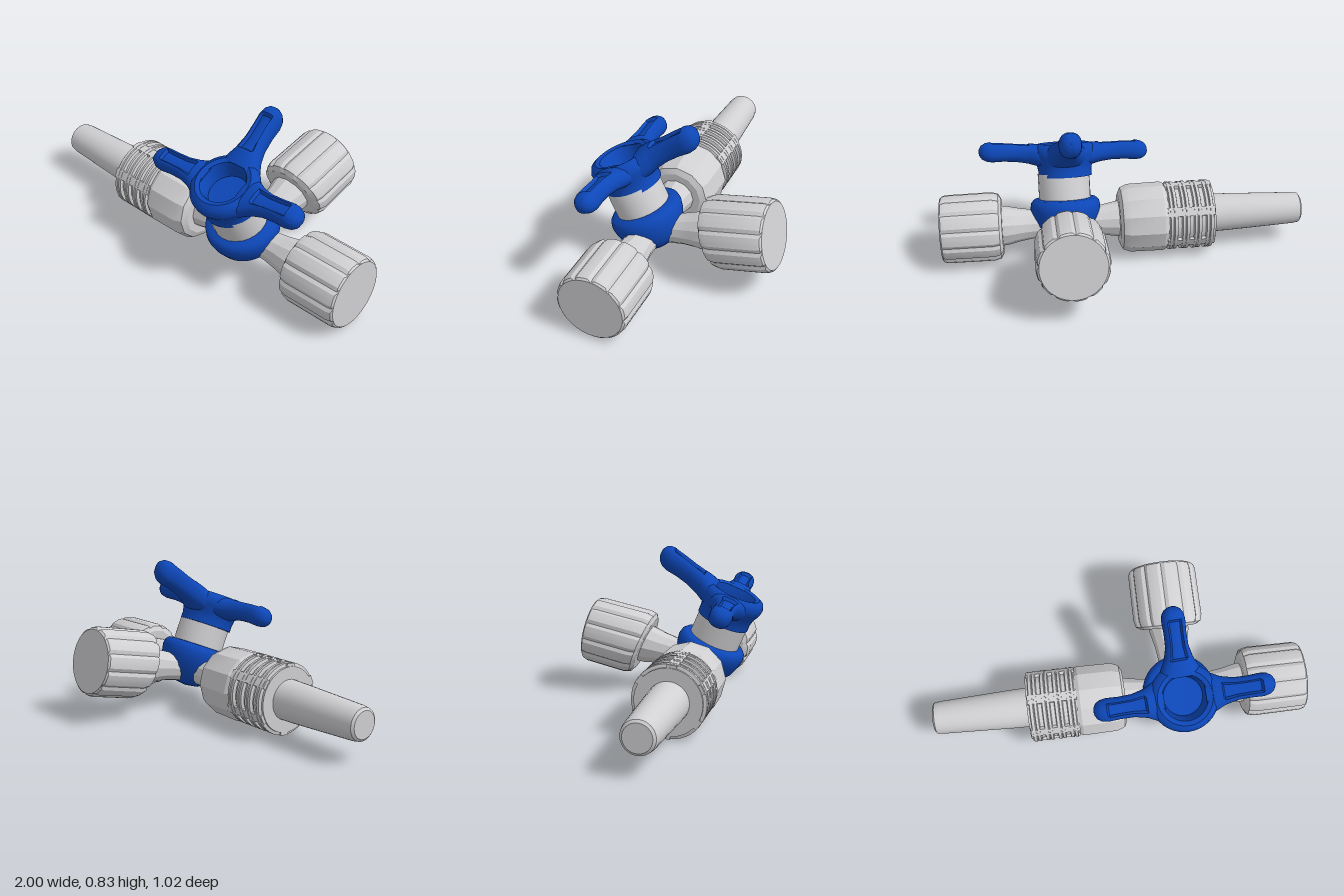
import * as THREE from 'three';
import { toCreasedNormals } from 'three/addons/utils/BufferGeometryUtils.js';

const white = new THREE.MeshStandardMaterial({ color: 0xd0cfd2 });
white.name = 'pale plastic';
const blue = new THREE.MeshStandardMaterial({ color: 0x0d47b8 });
blue.name = 'blue plastic';

function mesh(name, geometry, material, crease = 0.6) {
  const m = new THREE.Mesh(toCreasedNormals(geometry, crease), material);
  m.name = name;
  return m;
}

// Profile of [radius, height] pairs, listed from bottom to top of the outside
function lathe(profile, sides) {
  return new THREE.LatheGeometry(profile.map(([r, h]) => new THREE.Vector2(r, h)), sides);
}

// Gripped cap: every fifth column is a narrow groove; slant tilts the near face
function capGeometry(slant) {
  const near = 0.35, far = 0.68, columns = 60;
  const g = lathe([[0, near], [0.15, near], [0.178, near + 0.015], [0.188, near + 0.05],
    [0.186, far - 0.03], [0.18, far - 0.008], [0.17, far], [0, far]], columns);
  const p = g.attributes.position;
  for (let i = 0; i < p.count; i++) {
    const column = Math.floor(i / 8) % columns;
    const row = i % 8;
    const k = column % 5 === 4 && row > 1 && row < 6 ? 0.95 : 1;
    const x = p.getX(i) * k, y = p.getY(i), z = p.getZ(i) * k;
    const fade = (far - y) / (far - near);
    p.setXYZ(i, x, y - slant * z * fade, z);
  }
  return g;
}

// Short flared pipe closed by a gripped cap, running along local +y
function cappedPort(name, slant) {
  const port = new THREE.Group();
  port.name = name;
  port.add(mesh(name + 'Pipe', lathe([[0.078, 0.05], [0.08, 0.18], [0.09, 0.25], [0.108, 0.33], [0.11, 0.42]], 12), white, 0.4));
  port.add(mesh(name + 'Cap', capGeometry(slant), white, 0.4));
  return port;
}

// Pipe, threaded collar and tapered nozzle
function nozzlePort() {
  const port = new THREE.Group();
  port.name = 'nozzlePort';
  port.add(mesh('nozzlePipe', lathe([[0.078, 0.05], [0.08, 0.18], [0.1, 0.29], [0.105, 0.34]], 12), white, 0.4));
  port.add(mesh('collar', lathe([[0, 0.29], [0.14, 0.29], [0.172, 0.305], [0.189, 0.345],
    [0.192, 0.53], [0.182, 0.55], [0, 0.55]], 12), white, 0.4));

  // Four double ridges on the threaded half
  const thread = [[0.172, 0.54]];
  for (let i = 0; i < 4; i++) {
    const h = 0.555 + i * 0.066;
    thread.push([0.172, h], [0.189, h + 0.004], [0.189, h + 0.018], [0.181, h + 0.022],
      [0.189, h + 0.026], [0.189, h + 0.042], [0.172, h + 0.046]);
  }
  thread.push([0.172, 0.81], [0, 0.81]);
  port.add(mesh('collarThread', lathe(thread, 40), white, 0.5));

  // Plain bars interrupting the thread
  for (let i = 0; i < 6; i++) {
    const a = (i * Math.PI) / 3 + 0.43;
    const bar = mesh('collarBar', new THREE.BoxGeometry(0.05, 0.26, 0.03), white);
    bar.position.set(Math.sin(a) * 0.172, 0.675, Math.cos(a) * 0.172);
    bar.rotation.y = a;
    port.add(bar);
  }
  port.add(mesh('nozzle', lathe([[0.107, 0.78], [0.104, 0.9], [0.088, 1.28], [0.083, 1.31],
    [0.07, 1.32], [0, 1.32]], 32), white, 0.5));
  return port;
}

// Handle arm along local +x, lofted from rounded sections with a groove on top
function armGeometry(rise, thick) {
  // distance, half width, centre height, half thickness, groove depth
  const stations = [
    [0.105, 0.115, 0.37, 0.06, 0], [0.15, 0.098, 0.378, 0.06, 0], [0.19, 0.077, 0.386, 0.056, 0],
    [0.2, 0.073, 0.388, 0.055, 0.018], [0.26, 0.058, 0.395, 0.052, 0.022], [0.33, 0.056, 0.4, 0.053, 0.022],
    [0.385, 0.059, 0.4, 0.055, 0.018], [0.395, 0.059, 0.4, 0.055, 0], [0.425, 0.054, 0.4, 0.05, 0],
    [0.447, 0.04, 0.4, 0.037, 0], [0.459, 0.02, 0.4, 0.018, 0], [0.462, 0.001, 0.4, 0.001, 0]];
  const n = 32, position = [], index = [];
  stations.forEach(([s, w, c, t, groove], j) => {
    for (let i = 0; i < n; i++) {
      const a = (i / n) * Math.PI * 2, ca = Math.cos(a), sa = Math.sin(a);
      const z = w * Math.sign(ca) * Math.pow(Math.abs(ca), 0.85);
      let y = t * thick * Math.sign(sa) * Math.pow(Math.abs(sa), 0.85);
      if (sa > 0 && Math.abs(ca) < 0.4) y -= groove;
      position.push(s, c + rise * (s - 0.1) + y, z);
      if (j < stations.length - 1) {
        const p = j * n + i, q = j * n + ((i + 1) % n);
        index.push(p, p + n, q, q, p + n, q + n);
      }
    }
  });
  const g = new THREE.BufferGeometry();
  g.setAttribute('position', new THREE.Float32BufferAttribute(position, 3));
  g.setIndex(index);
  return g;
}

// Valve ball, stem and three-armed handle sharing one tilted axis
function valve() {
  const group = new THREE.Group();
  group.name = 'valve';
  group.add(mesh('valveBody', lathe([[0, -0.105], [0.07, -0.095], [0.125, -0.062], [0.165, -0.012],
    [0.186, 0.045], [0.193, 0.085], [0.187, 0.115], [0.17, 0.132], [0.135, 0.135]], 40), blue, 0.8));
  group.add(mesh('stem', lathe([[0.142, 0.1], [0.142, 0.275]], 24), white));

  const handle = new THREE.Group();
  handle.name = 'handle';
  handle.position.x = -0.008;
  handle.rotation.y = 0.05;
  handle.add(mesh('handleHub', lathe([[0.13, 0.256], [0.147, 0.257], [0.146, 0.29], [0.152, 0.325],
    [0.172, 0.365], [0.177, 0.395], [0.165, 0.425], [0.14, 0.438], [0.117, 0.43], [0.107, 0.4],
    [0.1, 0.34], [0, 0.335]], 40), blue, 0.8));
  const arms = [['rightArm', Math.PI, -0.07, 1], ['leftArm', 0, 0.03, 1], ['rearArm', Math.PI / 2, 0.16, 1.2]];
  for (const [name, turn, rise, thick] of arms) {
    const arm = mesh(name, armGeometry(rise, thick), blue, 0.8);
    arm.rotation.y = turn;
    handle.add(arm);
  }
  group.add(handle);
  group.rotation.x = THREE.MathUtils.degToRad(23);
  return group;
}

export function createModel() {
  const model = new THREE.Group();
  model.name = 'threeWayValve';
  const assembly = new THREE.Group();
  assembly.name = 'assembly';
  assembly.position.set(0.32, 0.192, 0.197);

  const side = cappedPort('sidePort', 0);
  side.rotation.z = -Math.PI / 2;
  const rear = cappedPort('rearPort', 0.19);
  rear.rotation.x = THREE.MathUtils.degToRad(-78);
  const nozzle = nozzlePort();
  nozzle.rotation.z = Math.PI / 2;

  assembly.add(side, rear, nozzle, valve());
  model.add(assembly);
  return model;
}
